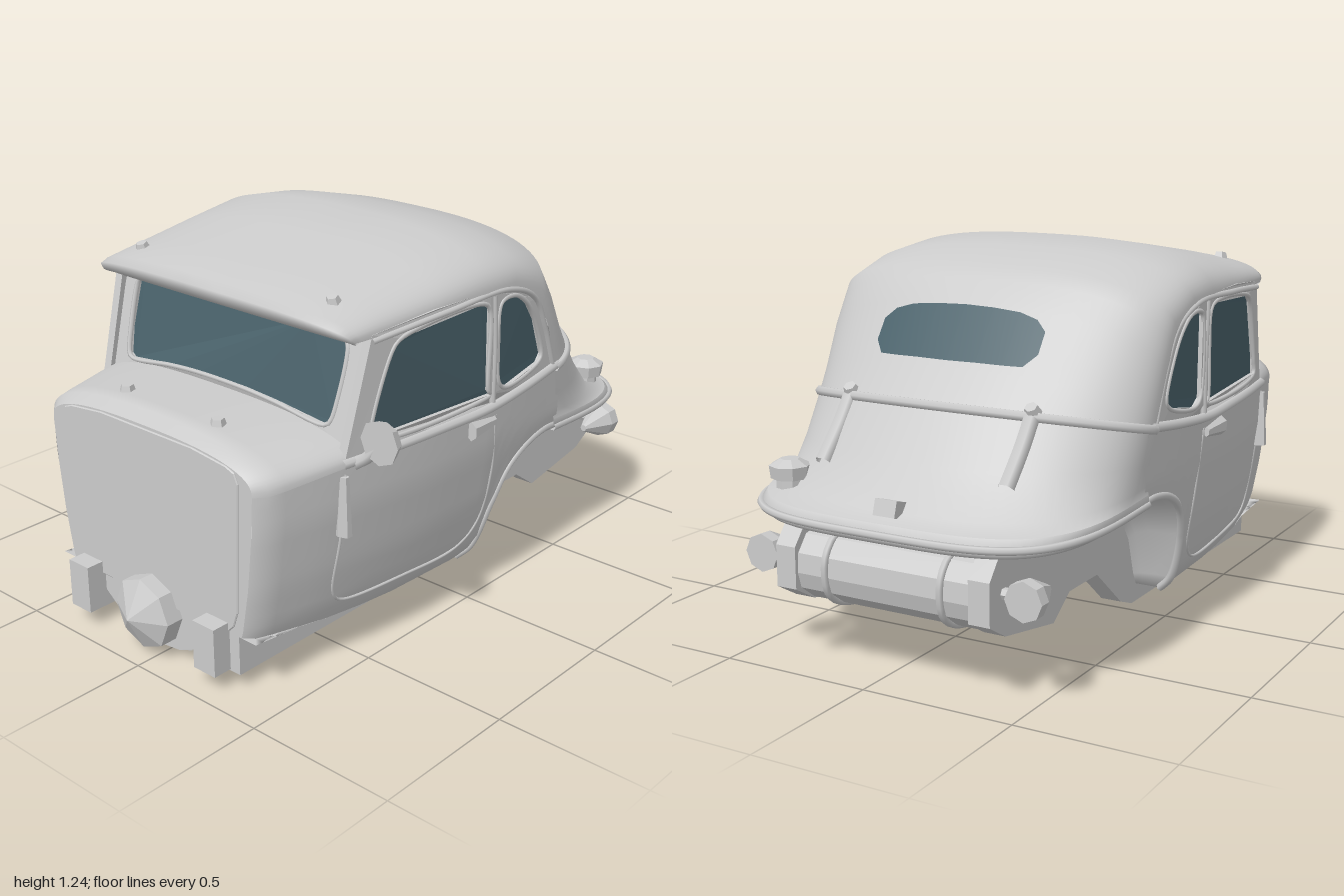
import * as THREE from 'three';

const grey = new THREE.MeshStandardMaterial({ color: 0xcccccc, side: THREE.DoubleSide });
const faceted = new THREE.MeshStandardMaterial({ color: 0xcccccc, flatShading: true, side: THREE.DoubleSide });
const glass = new THREE.MeshStandardMaterial({ color: 0x49616a, side: THREE.DoubleSide });

// linear interpolation in ascending [key, value] pairs
function at(keys, t) {
  if (t <= keys[0][0]) return keys[0][1];
  for (let i = 1; i < keys.length; i++) {
    const [a, va] = keys[i - 1], [b, vb] = keys[i];
    if (t <= b) return va + (vb - va) * (t - a) / (b - a);
  }
  return keys[keys.length - 1][1];
}
const width = z => at([[-0.42, 0.585], [-0.2, 0.597], [0, 0.6], [0.3, 0.583], [0.6, 0.54], [0.8, 0.492], [0.855, 0.475], [0.885, 0.44]], z);
const taper = y => at([[0.11, 0.77], [0.14, 0.83], [0.2, 0.88], [0.35, 0.94], [0.55, 0.99], [0.72, 1]], y);
const sideX = (z, y) => width(z) * taper(y);
const beltY = z => at([[-0.42, 0.72], [-0.2, 0.695], [0, 0.68], [0.6, 0.68], [0.885, 0.655]], z);
const archKeys = [[-0.42, 0.5], [-0.35, 0.505], [-0.25, 0.485], [-0.16, 0.43], [-0.1, 0.32], [-0.06, 0.16], [-0.04, 0.11]];
const bottomY = z => at([...archKeys, [0.3, 0.12], [0.885, 0.18]], z);

// surface through rows of [x, y, z] points
function loft(rows) {
  const n = rows[0].length, index = [];
  for (let i = 0; i < rows.length - 1; i++) for (let j = 0; j < n - 1; j++) {
    const a = i * n + j;
    index.push(a, a + n, a + 1, a + 1, a + n, a + n + 1);
  }
  const g = new THREE.BufferGeometry();
  g.setAttribute('position', new THREE.Float32BufferAttribute(rows.flat(2), 3));
  g.setIndex(index);
  g.computeVertexNormals();
  return g;
}
// superelliptic hoop: edges at (w, yE, zE), crown at (0, yC, zC)
function hoop([w, yE, zE, yC, zC, n = 2.6], seg = 40) {
  return Array.from({ length: seg + 1 }, (_, i) => {
    const a = (i / seg - 0.5) * Math.PI, s = Math.sin(a);
    const u = Math.sign(s) * Math.abs(s) ** (2 / n), v = Math.max(0, Math.cos(a)) ** (2 / n);
    return [w * u, yE + (yC - yE) * v, zE + (zC - zE) * v];
  });
}
const shapeOf = pts => new THREE.Shape(pts.map(p => new THREE.Vector2(...p)));
const mirrorX = pts => [...pts, ...pts.slice().reverse().map(([x, y]) => [-x, y])];

export function createModel() {
  const model = new THREE.Group();
  const car = new THREE.Group();
  car.name = 'carBody';
  car.position.x = -0.04;
  model.add(car);
  const add = (name, g, mat = grey, p = [0, 0, 0], r = [0, 0, 0]) => {
    const m = new THREE.Mesh(g, mat);
    m.name = name;
    m.position.set(...p);
    m.rotation.set(...r);
    car.add(m);
    return m;
  };
  const tube = (name, pts, r, closed = false, seg = 60) => add(name, new THREE.TubeGeometry(
    new THREE.CatmullRomCurve3(pts.map(p => new THREE.Vector3(...p)), closed, 'centripetal'), seg, r, 6, closed));
  const cyl = (name, r1, r2, h, p, r = [0, 0, 0], sides = 8) =>
    add(name, new THREE.CylinderGeometry(r1, r2, h, sides), faceted, p, r);

  // roof with visor, flowing down to the rear belt line
  const rearUpper = [0.595, 0.88, -0.32, 1.065, -0.47, 2.3], rearLower = [0.59, 0.77, -0.36, 0.89, -0.6, 2.2];
  const beltHoop = [0.588, 0.72, -0.38, 0.79, -0.69, 2.1];
  add('roof', loft([
    [0.5, 1.035, 0.46, 1.06, 0.49], [0.515, 1.03, 0.53, 1.062, 0.6], [0.535, 1.04, 0.555, 1.085, 0.635], [0.54, 1.05, 0.56, 1.12, 0.645],
    [0.545, 1.05, 0.535, 1.14, 0.61], [0.555, 1.05, 0.44, 1.167, 0.46], [0.58, 1.055, 0.22, 1.205, 0.22],
    [0.597, 1.06, 0.02, 1.238, 0], [0.597, 1.055, -0.12, 1.215, -0.18], [0.596, 1.0, -0.25, 1.17, -0.36],
    [0.595, 0.95, -0.28, 1.135, -0.41, 2.4], rearUpper, rearLower, beltHoop].map(h => hoop(h))));

  // rear window lying on the slope
  const windowPoint = (x, t) => {
    const [w, yE, zE, yC, zC, n] = rearUpper.map((a, i) => a + (rearLower[i] - a) * t);
    const v = (1 - Math.abs(x / w) ** n) ** (1 / n);
    return [x, yE + (yC - yE) * v + 0.006, zE + (zC - zE) * v - 0.008];
  };
  add('rearWindow', loft([[-0.285, 0.3, 0.66], [-0.25, 0.14, 0.88], [-0.19, 0.07, 0.9], [-0.1, 0.05, 0.91], [0, 0.04, 0.92],
    [0.1, 0.05, 0.91], [0.19, 0.07, 0.9], [0.25, 0.14, 0.88], [0.285, 0.3, 0.66]]
    .map(([x, a, b]) => [windowPoint(x, a), windowPoint(x, b)])), glass);

  // rear deck, overhanging brim and its underside
  const crease = [0.58, 0.525, -0.4, 0.495, -0.96, 3.6], brim = [0.583, 0.5, -0.4, 0.465, -0.995, 3.8];
  add('rearDeck', loft([beltHoop, [0.583, 0.62, -0.4, 0.64, -0.8, 2.3], [0.575, 0.55, -0.4, 0.515, -0.895, 2.7], crease].map(h => hoop(h))));
  add('rearBrim', loft([crease, brim, [0.56, 0.475, -0.42, 0.44, -0.97, 3.8], [0.44, 0.475, -0.42, 0.44, -0.89, 4],
    [0.375, 0.42, -0.42, 0.43, -0.82, 4], [0.01, 0.5, -0.42, 0.47, -0.43, 4]].map(h => hoop(h))));
  tube('rearBelt', hoop(beltHoop), 0.016, false, 100);
  tube('brimTrim', hoop([0.578, 0.495, -0.4, 0.47, -0.988, 3.8]), 0.012, false, 100);

  // cowl between windscreen and chamfered firewall
  const front = hoop([0.44, 0.655, 0.885, 0.75, 0.885, 2.6]);
  add('cowl', loft([front, ...[0.855, 0.8, 0.7, 0.6, 0.5].map(z => hoop([width(z), beltY(z), z, 0.785, z, 2.4]))]));
  const flank = [0.5, 0.35, 0.2, 0.18].map(y => [sideX(0.885, y), y]);
  add('frontFace', new THREE.ShapeGeometry(shapeOf([...front.map(p => [p[0], p[1]]), ...mirrorX(flank)])), grey, [0, 0, 0.885]);
  add('firewallPanel', new THREE.ExtrudeGeometry(shapeOf(mirrorX(
    [[0.2, 0.738], [0.34, 0.722], [0.372, 0.71], [0.385, 0.68], [0.367, 0.26], [0.35, 0.21], [0.315, 0.175]])),
    { depth: 0.004, bevelSize: 0.003, bevelThickness: 0.003, bevelSegments: 1 }), grey, [0, 0, 0.883]);

  // windscreen frame and glass, raked and bowed
  const screenZ = (x, y) => 0.59 - 0.28 * (y - 0.72) - 0.12 * x * x;
  const screen = (pts, holes, depth, dz) => {
    const s = shapeOf(pts);
    holes.forEach(h => s.holes.push(shapeOf(h)));
    const g = new THREE.ExtrudeGeometry(s, { depth, bevelEnabled: false });
    const p = g.attributes.position;
    for (let i = 0; i < p.count; i++) p.setZ(i, p.getZ(i) + dz + screenZ(p.getX(i), p.getY(i)));
    g.computeVertexNormals();
    return g;
  };
  const paneOutline = mirrorX([[0.15, 1.06], [0.3, 1.05], [0.44, 1.025], [0.455, 1.01], [0.455, 0.86], [0.44, 0.78], [0.42, 0.77], [0.23, 0.795], [0.1, 0.805]]);
  add('windscreenFrame', screen(mirrorX([[0.15, 1.09], [0.3, 1.085], [0.515, 1.06], [0.54, 0.66], [0.1, 0.7]]), [paneOutline], 0.035, -0.02));
  add('windscreen', screen(paneOutline, [], 0.01, -0.012), glass);
  tube('windscreenSeal', paneOutline.map(([x, y]) => [x, y, screenZ(x, y) + 0.013]), 0.008, true, 120);

  const frontPane = [[0.505, 0.74], [0.5, 0.79], [0.42, 1.0], [0.39, 1.025], [0.03, 1.045], [0, 1.02], [-0.005, 0.75], [-0.02, 0.735]];
  const rearPane = [[-0.06, 0.76], [-0.055, 1.02], [-0.08, 1.035], [-0.14, 1.03], [-0.2, 0.99], [-0.25, 0.92], [-0.3, 0.79], [-0.28, 0.765], [-0.1, 0.735]];
  const cabinOutline = [[0.61, 0.66], [0.5, 1.06], [0.25, 1.08], [0, 1.08], [-0.13, 1.06], [-0.26, 0.99], [-0.33, 0.87], [-0.39, 0.66], [0, 0.66], [0.3, 0.66]];
  const zs = [0.885, 0.855, 0.8, 0.7, 0.6, 0.45, 0.3, 0.15, 0, ...archKeys.map(k => k[0]).reverse()];

  for (const s of [1, -1]) {
    // plate in the side plane, bent to the body width
    const plate = (pts, holes, depth, dx) => {
      const shape = shapeOf(pts);
      holes.forEach(h => shape.holes.push(shapeOf(h)));
      const g = new THREE.ExtrudeGeometry(shape, { depth, bevelEnabled: false });
      const p = g.attributes.position;
      for (let i = 0; i < p.count; i++) {
        const z = p.getX(i);
        p.setXYZ(i, s * (width(z) - 0.035 + dx + p.getZ(i)), p.getY(i), z);
      }
      g.computeVertexNormals();
      return g;
    };
    const onSide = ([z, y], out = 0) => [s * (sideX(z, y) + out), y, z];

    add('cabinSide', plate(cabinOutline, [frontPane, rearPane], 0.03, 0));
    add('doorGlass', plate(frontPane, [], 0.008, 0.008), glass);
    add('quarterGlass', plate(rearPane, [], 0.008, 0.008), glass);
    for (const pane of [frontPane, rearPane])
      tube('sideWindowSeal', pane.map(([z, y]) => [s * (width(z) - 0.007), y, z]), 0.008, true, 80);
    tube('doorPillar', [[-0.03, 0.7], [-0.03, 0.9], [-0.02, 1.06]].map(p => onSide(p, -0.007)), 0.01);
    tube('dripRail', [[0.5, 1.04], [0.2, 1.06], [-0.1, 1.06], [-0.24, 1.0], [-0.31, 0.88], [-0.37, 0.73]].map(p => onSide(p, -0.005)), 0.01);

    // lower side from belt to sill and wheel arch
    add('bodySide', loft(zs.map(z => Array.from({ length: 13 }, (_, i) =>
      onSide([z, beltY(z) + (bottomY(z) - beltY(z)) * i / 12])))));
    // sill underside and rounded wheel arch lining
    add('archLining', loft(zs.map(z => {
      const y = bottomY(z), drop = z < 0 ? 0.08 * (y - 0.11) / 0.39 : 0;
      return [onSide([z, y]), [s * 0.44, y - drop * 0.1, z], [s * 0.395, y - drop * 0.4, z], [s * 0.37, y - drop, z], [s * 0.34, y - drop, z]];
    })));
    tube('archTrim', archKeys.map(p => onSide(p, -0.004)), 0.013, false, 80);
    tube('sideBelt', [0.61, 0.4, 0.2, 0, -0.2, -0.4].map(z => onSide([z, beltY(z) + 0.01], -0.003)), 0.016);
    tube('doorSeam', [[0.6, 0.66], [0.605, 0.45], [0.605, 0.26], [0.57, 0.215], [0.3, 0.2], [0.05, 0.205], [-0.03, 0.27], [-0.055, 0.45], [-0.04, 0.66]].map(p => onSide(p)), 0.005, false, 90);

    // chassis rail, also the inner wall of the wheel well
    add('chassisRail', new THREE.ExtrudeGeometry(shapeOf([[0.885, 0.05], [-0.07, 0.05], [-0.15, 0.08], [-0.32, 0.22], [-0.5, 0.22],
      [-0.6, 0.15], [-0.88, 0.2], [-0.965, 0.25], [-0.965, 0.38], [-0.9, 0.46], [-0.25, 0.5], [-0.1, 0.36], [-0.04, 0.2], [0.885, 0.2]]),
      { depth: 0.07, bevelEnabled: false }), faceted, [s > 0 ? 0.37 : -0.3, 0, 0], [0, -Math.PI / 2, 0]);
    add('frontHorn', new THREE.BoxGeometry(0.09, 0.16, 0.3), faceted, [s * 0.285, 0.135, 0.8]);

    // fittings
    cyl('doorHinge', 0.024, 0.034, 0.19, [s * 0.53, 0.56, 0.607], [0, 0, 0], 6).scale.z = 0.6;
    cyl('doorHandle', 0.032, 0.016, 0.12, [s * 0.603, 0.645, 0.03], [Math.PI / 2, 0, 0], 6).scale.x = 0.7;
    cyl('cowlStud', 0.02, 0.028, 0.025, [s * 0.2, 0.785, 0.78], [0, 0, 0], 5);
    cyl('roofLamp', 0.018, 0.032, 0.04, [s * 0.41, 1.13, 0.51], [0.25, 0, 0], 5);
    cyl('beltStud', 0.02, 0.033, 0.05, [s * 0.32, 0.79, -0.635], [-0.6, 0, 0], 6);
    tube('bootHinge', [[s * 0.32, 0.775, -0.645], [s * 0.32, 0.7, -0.7], [s * 0.32, 0.6, -0.79]], 0.027, false, 8);
    cyl('tailLamp', 0.06, 0.06, 0.04, [s * 0.455, 0.33, -0.91], [Math.PI / 2, 0, 0]);
    cyl('tailLampShell', 0.06, 0.012, 0.1, [s * 0.455, 0.33, -0.84], [-Math.PI / 2, 0, 0]);
    cyl('tailLampStem', 0.018, 0.018, 0.1, [s * 0.4, 0.33, -0.89], [0, 0, Math.PI / 2], 6);
  }

  // floor pan between the rails
  add('floor', loft([[0.88, 0.17], [0.6, 0.22], [-0.05, 0.25], [-0.2, 0.42], [-0.42, 0.5]].map(([z, y]) => [[-0.34, y, z], [0.34, y, z]])));

  // fuel tank with straps
  const tankShape = [[-0.64, 0.42], [-0.63, 0.26], [-0.68, 0.19], [-0.88, 0.205], [-0.94, 0.25], [-0.955, 0.3], [-0.95, 0.36], [-0.91, 0.41], [-0.82, 0.43]];
  add('fuelTank', new THREE.ExtrudeGeometry(shapeOf(tankShape), { depth: 0.6, bevelEnabled: false }), faceted, [0.3, 0, 0], [0, -Math.PI / 2, 0]);
  for (const x of [-0.2, 0.2])
    tube('tankStrap', tankShape.map(([z, y]) => [x, y, z]), 0.012, false, 30);
  cyl('fuelNeck', 0.042, 0.045, 0.1, [0.44, 0.5, -0.8]);
  cyl('fuelCap', 0.065, 0.06, 0.04, [0.44, 0.56, -0.8]);
  cyl('fuelCapDome', 0.03, 0.065, 0.02, [0.44, 0.59, -0.8]);
  add('plateLamp', new THREE.BoxGeometry(0.075, 0.05, 0.06), faceted, [0, 0.525, -0.9], [0.3, 0, 0]);

  // gearbox, flywheel cover and drive line
  add('gearbox', new THREE.ExtrudeGeometry(shapeOf(mirrorX([[0.27, 0.18], [0.25, 0.12], [0.16, 0.05], [0.1, 0.025]])),
    { depth: 0.27, bevelEnabled: false }), faceted, [0, 0, 0.61]);
  cyl('gearboxFoot', 0.1, 0.1, 0.04, [0, 0.02, 0.83]).scale.z = 0.35;
  cyl('flywheelCover', 0.118, 0.118, 0.06, [0, 0.142, 0.91], [Math.PI / 2, 0, 0]);
  cyl('coverNose', 0, 0.118, 0.06, [0, 0.142, 0.97], [Math.PI / 2, 0, 0]);
  cyl('bellHousing', 0.1, 0.06, 0.16, [0, 0.135, 0.53], [Math.PI / 2, 0, 0]);
  cyl('driveShaft', 0.022, 0.022, 0.4, [0, 0.12, 0.29], [Math.PI / 2, 0, 0]);
  cyl('crossMember', 0.017, 0.017, 0.62, [0, 0.12, 0.1], [0, 0, Math.PI / 2]);
  add('shaftJoint', new THREE.SphereGeometry(0.035, 8, 6), faceted, [0, 0.12, 0.1]);

  // single door mirror on the left
  cyl('mirrorHead', 0.07, 0.055, 0.035, [0.63, 0.77, 0.545], [Math.PI / 2, 0, 0]);
  cyl('mirrorBack', 0.055, 0.02, 0.02, [0.63, 0.77, 0.52], [Math.PI / 2, 0, 0]);
  tube('mirrorArm', [[0.54, 0.68, 0.56], [0.58, 0.71, 0.55], [0.62, 0.76, 0.54]], 0.02, false, 6);

  return model;
}
